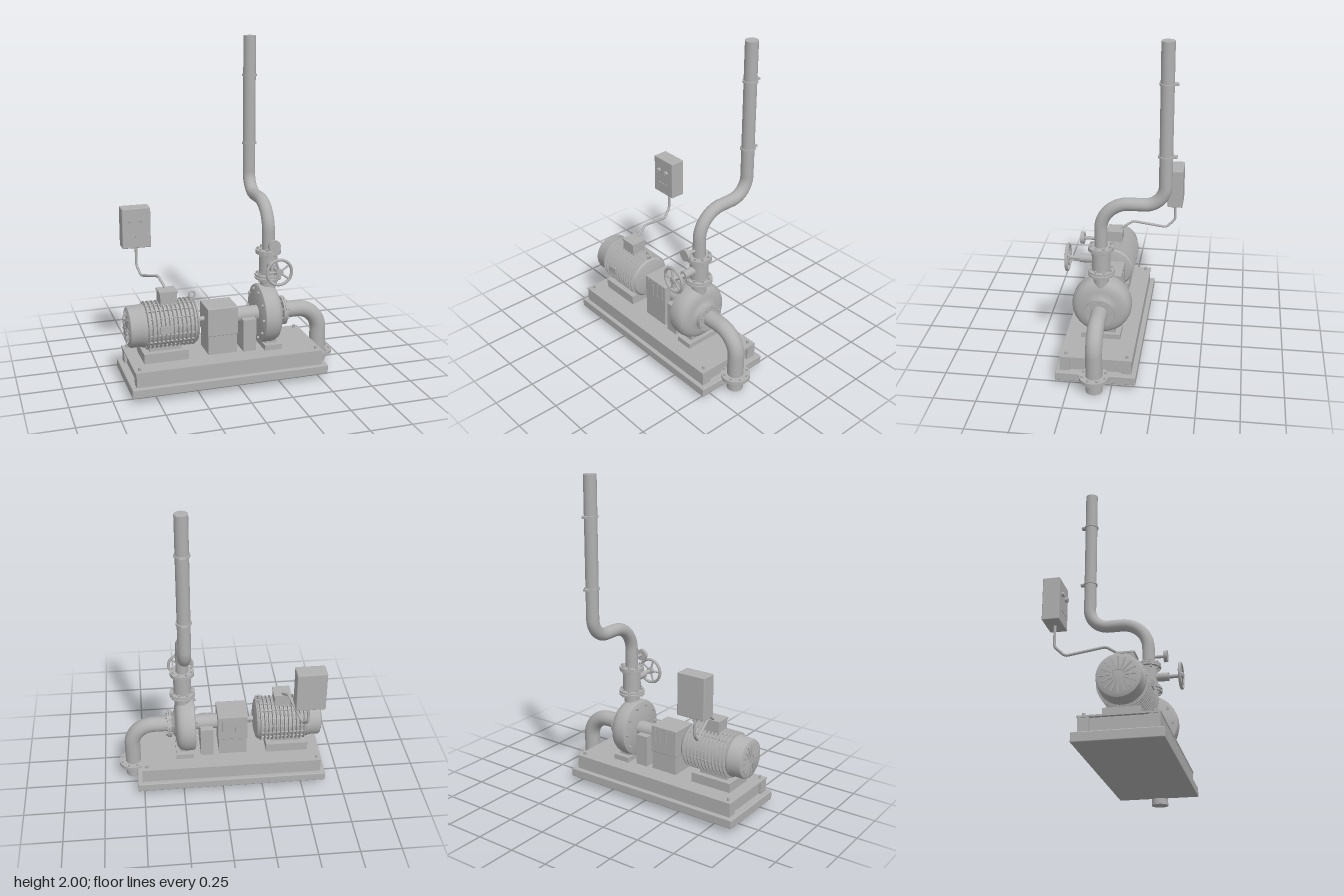
import * as THREE from 'three';
import { toCreasedNormals } from 'three/addons/utils/BufferGeometryUtils.js';
import { RoundedBoxGeometry } from 'three/addons/geometries/RoundedBoxGeometry.js';

const V = (x, y, z) => new THREE.Vector3(x, y, z);
const AXIS_Y = 0.38, AXIS_Z = 0.095;      // shaft line
const RISER_X = 0.235;                    // discharge line

export function createModel() {
  const root = new THREE.Group();
  root.name = 'pumpSet';
  const castGrey = new THREE.MeshStandardMaterial({ color: 0xb0b0b0 });
  castGrey.name = 'cast grey';

  const add = (name, geo, x = 0, y = 0, z = 0, parent = root) => {
    const m = new THREE.Mesh(geo, castGrey);
    m.name = name;
    m.position.set(x, y, z);
    parent.add(m);
    return m;
  };
  const group = (name, x = 0, y = 0, z = 0) => {
    const g = new THREE.Group();
    g.name = name;
    g.position.set(x, y, z);
    root.add(g);
    return g;
  };
  // box from min and max corners
  const box = (name, x0, x1, y0, y1, z0, z1, r = 0) => {
    const s = [x1 - x0, y1 - y0, z1 - z0];
    const geo = r ? new RoundedBoxGeometry(...s, 2, r) : new THREE.BoxGeometry(...s);
    return add(name, geo, (x0 + x1) / 2, (y0 + y1) / 2, (z0 + z1) / 2);
  };
  // cylinder centred at a point, along a chosen axis
  const cyl = (name, r, len, axis, x, y, z, parent = root, seg = 32) => {
    const m = add(name, new THREE.CylinderGeometry(r, r, len, seg), x, y, z, parent);
    if (axis === 'x') m.rotation.z = -Math.PI / 2;
    if (axis === 'z') m.rotation.x = Math.PI / 2;
    return m;
  };
  // turned part along +x on the shaft line, profile of [x, radius]
  const turned = (name, profile) => {
    const geo = new THREE.LatheGeometry(profile.map(([x, r]) => new THREE.Vector2(r, x)), 48);
    const m = add(name, toCreasedNormals(geo, 0.6), 0, AXIS_Y, AXIS_Z);
    m.rotation.z = -Math.PI / 2;
    return m;
  };
  // round pipe through corner points, with a bend radius at each inner corner
  const pipe = (name, pts, bends, r, seg = 96, sides = 24) => {
    const path = new THREE.CurvePath();
    let from = pts[0];
    for (let i = 1; i < pts.length - 1; i++) {
      const a = pts[i].clone().add(pts[i - 1].clone().sub(pts[i]).setLength(bends[i - 1]));
      const b = pts[i].clone().add(pts[i + 1].clone().sub(pts[i]).setLength(bends[i - 1]));
      path.add(new THREE.LineCurve3(from, a));
      path.add(new THREE.CubicBezierCurve3(a, a.clone().lerp(pts[i], 0.552), b.clone().lerp(pts[i], 0.552), b));
      from = b;
    }
    path.add(new THREE.LineCurve3(from, pts[pts.length - 1]));
    return add(name, new THREE.TubeGeometry(path, seg, r, sides), 0, 0, 0);
  };
  // flange disc pair with a ring of bolts, built along y
  const flange = (name, x, y, z, axis, r, gap) => {
    const g = group(name, x, y, z);
    for (const s of gap ? [-1, 1] : [0]) cyl('flangeDisc', r, 0.011, 'y', 0, s * gap, 0, g, 40);
    for (let i = 0; i < 8; i++) {
      const a = (i + 0.5) * Math.PI / 4;
      cyl('flangeBolt', 0.007, 2 * gap + 0.036, 'y', Math.cos(a) * r * 0.82, 0, Math.sin(a) * r * 0.82, g, 6);
    }
    if (axis === 'x') g.rotation.z = -Math.PI / 2;
    return g;
  };

  // Base frame
  box('plinth', -0.65, 0.54, 0.035, 0.09, -0.143, 0.33, 0.006);
  box('sideChannel', -0.62, 0.51, 0.09, 0.172, 0.245, 0.305);
  box('sideChannel', -0.62, 0.51, 0.09, 0.172, -0.115, -0.055);
  box('deckPlate', -0.625, 0.51, 0.17, 0.18, -0.118, 0.308);
  for (const x of [-0.585, 0.475]) box('crossMember', x - 0.02, x + 0.02, 0.09, 0.172, -0.06, 0.25);
  for (const x of [-0.595, 0.478]) for (const z of [-0.087, 0.272])
    cyl('anchorBolt', 0.009, 0.022, 'y', x, 0.188, z, root, 8);

  // Motor
  const prof = [[-0.632, 0], [-0.632, 0.1], [-0.625, 0.117], [-0.615, 0.121], [-0.555, 0.121], [-0.545, 0.127], [-0.535, 0.127]];
  for (let i = 0; i < 12; i++) {
    const x = -0.528 + i * 0.0248;
    prof.push([x, 0.123], [x + 0.004, 0.14], [x + 0.010, 0.14], [x + 0.014, 0.123]);
  }
  prof.push([-0.236, 0.123], [-0.234, 0.132], [-0.222, 0.122], [-0.212, 0.085], [-0.208, 0.03], [-0.208, 0]);
  turned('motorBody', prof);
  box('motorFoot', -0.55, -0.285, 0.18, 0.238, -0.005, 0.195);
  box('motorSaddle', -0.51, -0.32, 0.23, 0.29, 0.03, 0.16);
  for (let i = 0; i < 16; i++) {
    const a = i * Math.PI / 8;
    const rib = add('fanCoverRib', new THREE.BoxGeometry(0.006, 0.07, 0.008), -0.633,
      AXIS_Y + Math.cos(a) * 0.062, AXIS_Z + Math.sin(a) * 0.062);
    rib.rotation.x = a;
  }
  for (let i = 0; i < 16; i++) {
    const a = (i + 0.5) * Math.PI / 8;
    const rib = add('lengthwiseRib', new THREE.BoxGeometry(0.28, 0.02, 0.006), -0.39,
      AXIS_Y + Math.cos(a) * 0.122, AXIS_Z + Math.sin(a) * 0.122);
    rib.rotation.x = a;
  }
  box('namePlate', -0.463, -0.4, 0.37, 0.412, 0.232, 0.239);
  box('terminalBox', -0.437, -0.337, 0.49, 0.578, 0.045, 0.138);
  box('terminalBoxLid', -0.442, -0.332, 0.575, 0.585, 0.04, 0.143);
  add('liftingEye', new THREE.TorusGeometry(0.018, 0.005, 10, 24), -0.237, 0.54, AXIS_Z);
  cyl('liftingEyeShank', 0.006, 0.03, 'y', -0.237, 0.51, AXIS_Z, root, 10);
  cyl('motorShaft', 0.015, 0.08, 'x', -0.18, AXIS_Y, AXIS_Z);

  // Coupling guard with louvres and edge screws
  box('guardPedestal', -0.16, 0.015, 0.18, 0.3, 0.008, 0.178);
  box('couplingGuard', -0.164, 0.022, 0.294, 0.465, 0.004, 0.18, 0.004);
  for (const x of [-0.09, -0.048, -0.008]) for (const z of [0.003, 0.181])
    box('guardLouvre', x - 0.004, x + 0.004, 0.355, 0.435, z - 0.003, z + 0.003);
  for (const x of [-0.135, -0.1, -0.045, -0.01]) for (const z of [0.003, 0.181])
    cyl('guardScrew', 0.005, 0.008, 'z', x, 0.45, z, root, 8);

  // Bearing housing and its support
  cyl('bearingHousing', 0.048, 0.16, 'x', 0.095, AXIS_Y, AXIS_Z);
  box('bearingSupport', 0.052, 0.132, 0.18, 0.376, 0.002, 0.188);

  // Pump casing
  turned('pumpCasing', [[0.165, 0], [0.165, 0.165], [0.17, 0.174], [0.18, 0.177], [0.225, 0.178], [0.25, 0.173],
    [0.268, 0.162], [0.28, 0.142], [0.286, 0.11], [0.288, 0.085], [0.3, 0.07], [0.315, 0.055], [0.315, 0]]);
  for (let i = 0; i < 10; i++) {
    const a = (i + 0.5) * Math.PI / 5;
    cyl('casingBolt', 0.009, 0.018, 'x', 0.161, AXIS_Y + Math.cos(a) * 0.148, AXIS_Z + Math.sin(a) * 0.148, root, 6);
  }
  box('casingFoot', 0.18, 0.288, 0.178, 0.212, -0.022, 0.215);
  box('casingSaddle', 0.195, 0.265, 0.2, 0.24, 0.01, 0.18);

  // Suction line
  pipe('suctionPipe', [V(0.27, AXIS_Y, AXIS_Z), V(0.563, AXIS_Y, AXIS_Z), V(0.563, 0.001, AXIS_Z)], [0.14], 0.049);
  cyl('suctionPipeEnd', 0.049, 0.002, 'y', 0.563, 0.001, AXIS_Z);
  flange('suctionFlange', 0.325, AXIS_Y, AXIS_Z, 'x', 0.087, 0.0065);
  flange('footFlange', 0.565, 0.093, AXIS_Z, 'y', 0.087, 0.0055);

  // Discharge neck and gate valve
  cyl('dischargeNeck', 0.046, 0.13, 'y', RISER_X, 0.56, AXIS_Z);
  flange('lowerValveFlange', RISER_X, 0.61, AXIS_Z, 'y', 0.079, 0.009);
  cyl('valveBody', 0.055, 0.15, 'y', RISER_X, 0.69, AXIS_Z);
  flange('upperValveFlange', RISER_X, 0.764, AXIS_Z, 'y', 0.075, 0.006);
  cyl('valveBonnet', 0.026, 0.1, 'z', RISER_X, 0.69, 0.168);
  cyl('valveStem', 0.012, 0.1, 'z', RISER_X, 0.69, 0.255);

  // Handwheel
  const wheel = group('handwheel', RISER_X, 0.69, 0.29);
  add('wheelRim', new THREE.TorusGeometry(0.075, 0.009, 12, 40), 0, 0, 0, wheel);
  cyl('wheelHub', 0.021, 0.024, 'z', 0, 0, 0, wheel, 24);
  for (let i = 0; i < 5; i++) {
    const a = i * Math.PI * 0.4 + 0.3;
    const spoke = cyl('wheelSpoke', 0.006, 0.066, 'y', -Math.sin(a) * 0.042, Math.cos(a) * 0.042, 0, wheel, 10);
    spoke.rotation.z = a;
  }

  // Pressure gauge
  cyl('gaugeStem', 0.01, 0.08, 'z', RISER_X, 0.822, 0.16, root, 12);
  cyl('gaugeDial', 0.036, 0.022, 'z', RISER_X, 0.822, 0.2);

  // Riser with offset bend and clamps
  const RZ = -0.273;
  pipe('riserPipe', [V(RISER_X, 0.75, AXIS_Z), V(RISER_X, 1.05, AXIS_Z), V(RISER_X, 1.05, RZ), V(RISER_X, 1.999, RZ)],
    [0.165, 0.12], 0.038, 160);
  cyl('riserPipeEnd', 0.038, 0.002, 'y', RISER_X, 1.999, RZ);
  for (const y of [1.35, 1.765]) {
    cyl('riserClamp', 0.045, 0.01, 'y', RISER_X, y, RZ);
    box('clampTab', RISER_X - 0.015, RISER_X + 0.015, y - 0.006, y + 0.006, -0.335, -0.3);
  }

  // Control box and conduit
  box('controlBox', -0.575, -0.4, 0.747, 0.995, -0.335, -0.24, 0.005);
  for (const x of [-0.525, -0.455]) {
    cyl('controlKnob', 0.014, 0.016, 'z', x, 0.911, -0.233, root, 20);
    box('knobGrip', x - 0.003, x + 0.003, 0.9, 0.922, -0.228, -0.221);
  }
  for (const x of [-0.52, -0.488, -0.456]) box('indicator', x - 0.009, x + 0.009, 0.817, 0.825, -0.242, -0.236);
  pipe('conduit', [V(-0.485, 0.755, -0.285), V(-0.485, 0.625, -0.285), V(-0.468, 0.575, -0.23),
    V(-0.41, 0.633, -0.02), V(-0.387, 0.58, 0.07)], [0.015, 0.015, 0.015], 0.008, 90, 10);

  return root;
}
